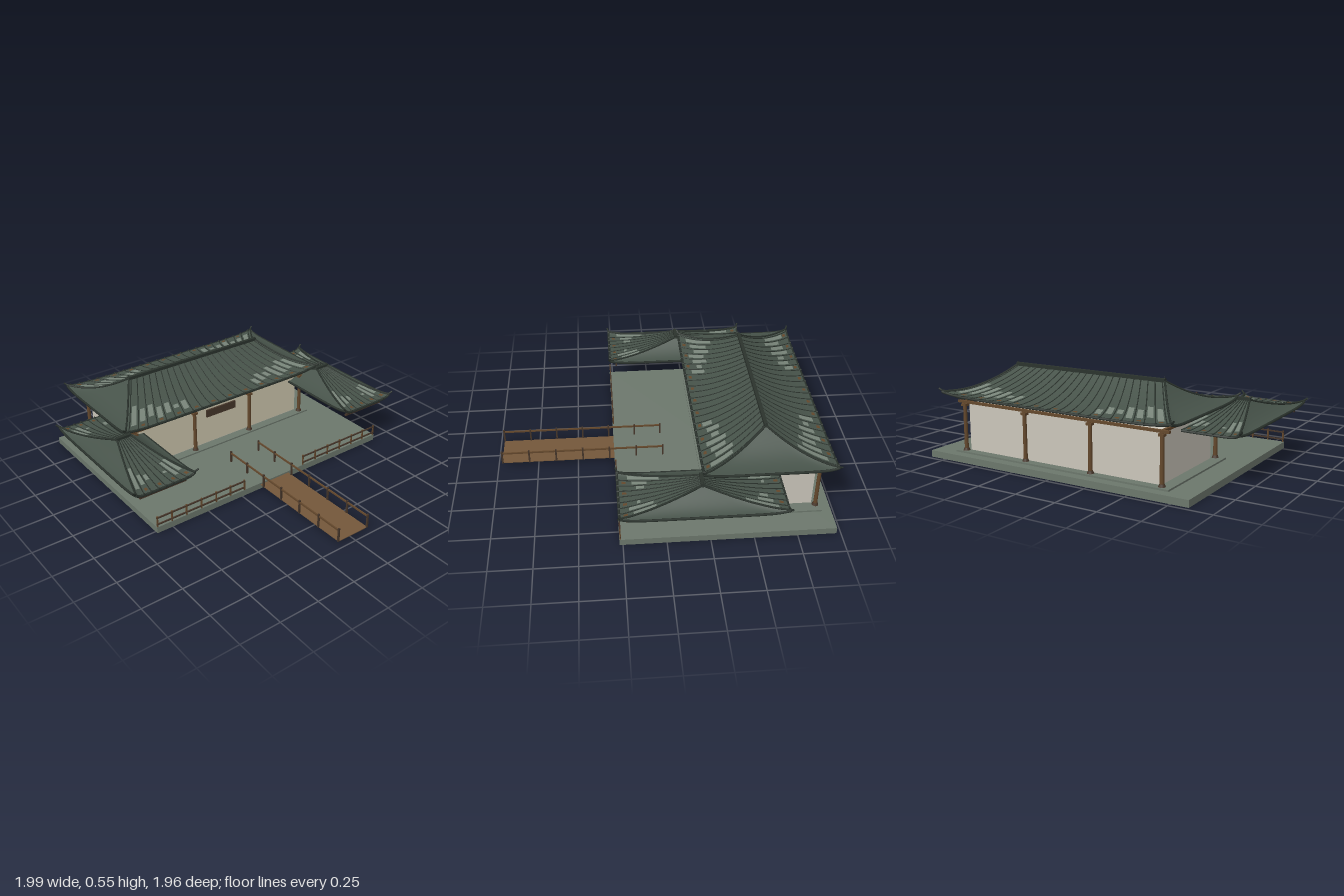
import * as THREE from 'three';

const mat = (name, color) => {
  const m = new THREE.MeshStandardMaterial({ color, side: THREE.DoubleSide });
  m.name = name;
  return m;
};

export function createModel() {
  const stone = mat('stone', 0x6c776c);
  const tile = mat('roofTile', 0x465249);
  const darkTile = mat('darkTile', 0x2b332d);
  const paleTile = mat('paleTile', 0x788479);
  const plaster = mat('plaster', 0xcbc6ba);
  const paper = mat('paper', 0xccc5ac);
  const wood = mat('wood', 0x64482c);
  const darkWood = mat('darkWood', 0x46362a);
  const deckWood = mat('deckWood', 0x74573a);

  const model = new THREE.Group();
  model.name = 'pavilion';
  const add = (parent, geometry, material, name) => {
    const mesh = new THREE.Mesh(geometry, material);
    mesh.name = name;
    parent.add(mesh);
    return mesh;
  };
  const box = (parent, name, material, w, h, d, x, y, z) => {
    const m = add(parent, new THREE.BoxGeometry(w, h, d), material, name);
    m.position.set(x, y, z);
    return m;
  };
  const tube = (parent, name, material, points, r, segs = 12) =>
    add(parent, new THREE.TubeGeometry(new THREE.CatmullRomCurve3(points), segs, r, 5), material, name);

  // Grid surface over u, v ranges; f returns a Vector3
  const patch = (f, u0, u1, v0, v1, nu, nv) => {
    const pos = [], idx = [];
    for (let j = 0; j <= nv; j++) for (let i = 0; i <= nu; i++)
      pos.push(...f(u0 + (u1 - u0) * i / nu, v0 + (v1 - v0) * j / nv).toArray());
    for (let j = 0; j < nv; j++) for (let i = 0; i < nu; i++) {
      const a = j * (nu + 1) + i, b = a + nu + 1;
      idx.push(a, b, a + 1, a + 1, b, b + 1);
    }
    const g = new THREE.BufferGeometry();
    g.setAttribute('position', new THREE.Float32BufferAttribute(pos, 3));
    g.setIndex(idx);
    g.computeVertexNormals();
    return g;
  };

  // Hipped roof with concave slopes, upturned corners and fanned tile ribs
  const hipRoof = (name, o) => {
    const roof = new THREE.Group();
    roof.name = name;
    const { ridge: R, w: W, d: D, eave, top, power, lift, ribs } = o;
    const height = (u, v) => eave + (top - eave) * Math.pow(1 - v, power)
      + lift * Math.pow(Math.abs(u), 8) * v * v * v;
    const slope = s => (u, v) =>
      new THREE.Vector3(s * u * (R + (W - R) * v), height(u, v), s * D * v);
    const end = s => (u, v) =>
      new THREE.Vector3(s * (R + (W - R) * v), height(u, v), -s * u * D * v);
    const line = (f, from, to, n = 8, dy = 0) => Array.from({ length: n + 1 }, (_, i) => {
      const p = f(from[0] + (to[0] - from[0]) * i / n, from[1] + (to[1] - from[1]) * i / n);
      p.y += dy;
      return p;
    });
    for (const s of [1, -1]) {
      const f = slope(s), e = end(s);
      add(roof, patch(f, -1, 1, 0, 1, 32, 12), tile, 'roofSlope');
      add(roof, patch(e, -1, 1, 0, 1, 24, 12), tile, 'roofEnd');
      for (const face of [f, e])
        tube(roof, 'eaveEdge', darkTile, line(face, [-1, 1], [1, 1], 24, -0.004), 0.008, 36);
      for (let i = 0; i <= ribs; i++) {
        const u = -0.97 + 1.94 * i / ribs;
        tube(roof, 'tileRib', darkTile, line(f, [u, 0.02], [u, 1]), 0.0035, 10);
        const cap = add(roof, new THREE.CylinderGeometry(0.007, 0.007, 0.012, 8), darkTile, 'tileEnd');
        cap.position.copy(f(u, 1));
        cap.rotation.x = Math.PI / 2;
        if (i === ribs) continue;
        // Pale weathered strips and rafter tips toward the outer bays
        const step = 1.94 / ribs, m = u + step / 2, a = Math.abs(m);
        const raised = (p, q) => f(p, q).add(new THREE.Vector3(0, 0.004, 0));
        if (a > 0.35) add(roof, patch(raised, m - step * 0.3, m + step * 0.3,
          0.82 - 0.38 * a + 0.06 * (i % 2), 0.88 - 0.05 * (i % 3), 1, 6), paleTile, 'paleStrip');
        if (i % 2) add(roof, patch(raised, m - step * 0.2, m + step * 0.2, 0.9, 0.95, 1, 1), wood, 'rafterTip');
      }
      // Hip ridges ending in curled tips
      for (const c of [1, -1]) {
        const pts = line(f, [c, 0], [c, 1], 8, 0.003);
        const k = pts[8];
        pts.push(new THREE.Vector3(k.x + Math.sign(k.x) * 0.018, k.y + 0.014, k.z + s * 0.008));
        tube(roof, 'hipRidge', darkTile, pts, 0.006, 20);
      }
      const tip = add(roof, new THREE.ConeGeometry(0.01, 0.03, 6), darkTile, 'ridgeTip');
      tip.position.set(s * R, top + 0.01, 0);
    }
    box(roof, 'ridge', darkTile, 2 * R + 0.01, 0.022, 0.02, 0, top + 0.002, 0);
    roof.position.set(o.x, 0, o.z);
    model.add(roof);
  };

  // Platform and low plinth
  box(model, 'platform', stone, 1.71, 0.04, 1.245, 0, 0.02, -0.3525);
  box(model, 'plinth', stone, 1.42, 0.01, 0.67, 0, 0.045, -0.585);

  // Hall walls
  box(model, 'hallWalls', plaster, 1.28, 0.275, 0.56, 0, 0.1875, -0.59);
  box(model, 'frontPanels', paper, 1.27, 0.265, 0.006, 0, 0.1875, -0.309);
  box(model, 'signBoard', darkWood, 0.23, 0.05, 0.012, 0, 0.275, -0.296);

  // Columns with base and bracket, tied by lintels
  for (const z of [-0.28, -0.89]) {
    for (let i = 0; i < 4; i++) {
      const column = new THREE.Group();
      column.name = 'column';
      const shaft = add(column, new THREE.CylinderGeometry(0.011, 0.012, 0.29, 12), wood, 'shaft');
      shaft.position.y = 0.19;
      const base = add(column, new THREE.CylinderGeometry(0.014, 0.02, 0.015, 12), darkWood, 'base');
      base.position.y = 0.0575;
      box(column, 'bracket', wood, 0.034, 0.014, 0.03, 0, 0.322, 0);
      column.position.set(-0.656 + i * 0.4375, 0, z);
      model.add(column);
    }
    box(model, 'lintel', wood, 1.4, 0.014, 0.018, 0, 0.34, z);
  }
  for (const s of [1, -1]) box(model, 'sideLintel', wood, 0.018, 0.014, 0.63, s * 0.656, 0.34, -0.585);

  // Main roof and the two wing roofs
  hipRoof('mainRoof', { ridge: 0.5, w: 0.752, d: 0.378, eave: 0.385, top: 0.528,
    power: 1.9, lift: 0.02, ribs: 22, x: 0, z: -0.59 });
  for (const s of [1, -1]) {
    hipRoof('wingRoof', { ridge: 0.045, w: 0.195, d: 0.462, eave: 0.292, top: 0.385,
      power: 1.6, lift: 0.018, ribs: 8, x: s * 0.777, z: -0.195 });
    box(model, 'wingBeam', darkWood, 0.31, 0.012, 0.012, s * 0.775, 0.25, 0.225);

    // Terrace railing
    const rail = new THREE.Group();
    rail.name = 'terraceRailing';
    for (const y of [0.1, 0.056]) box(rail, 'rail', darkWood, 0.625, 0.008, 0.008, s * 0.54, y, 0.265);
    for (const x of [0.232, 0.335, 0.44, 0.545, 0.65, 0.75, 0.848])
      box(rail, 'post', wood, 0.008, 0.085, 0.008, s * x, 0.068, 0.265);
    model.add(rail);

    // Footbridge railing
    const side = new THREE.Group();
    side.name = 'bridgeRailing';
    box(side, 'rail', wood, 0.008, 0.01, 1.01, s * 0.11, 0.103, 0.467);
    for (let i = 0; i < 7; i++)
      box(side, 'post', darkWood, 0.01, 0.09, 0.01, s * 0.11, 0.072, -0.036 + i * 0.168);
    model.add(side);
  }

  // Footbridge deck
  box(model, 'bridgeDeck', deckWood, 0.22, 0.004, 0.705, 0, 0.028, 0.6225);

  return model;
}
